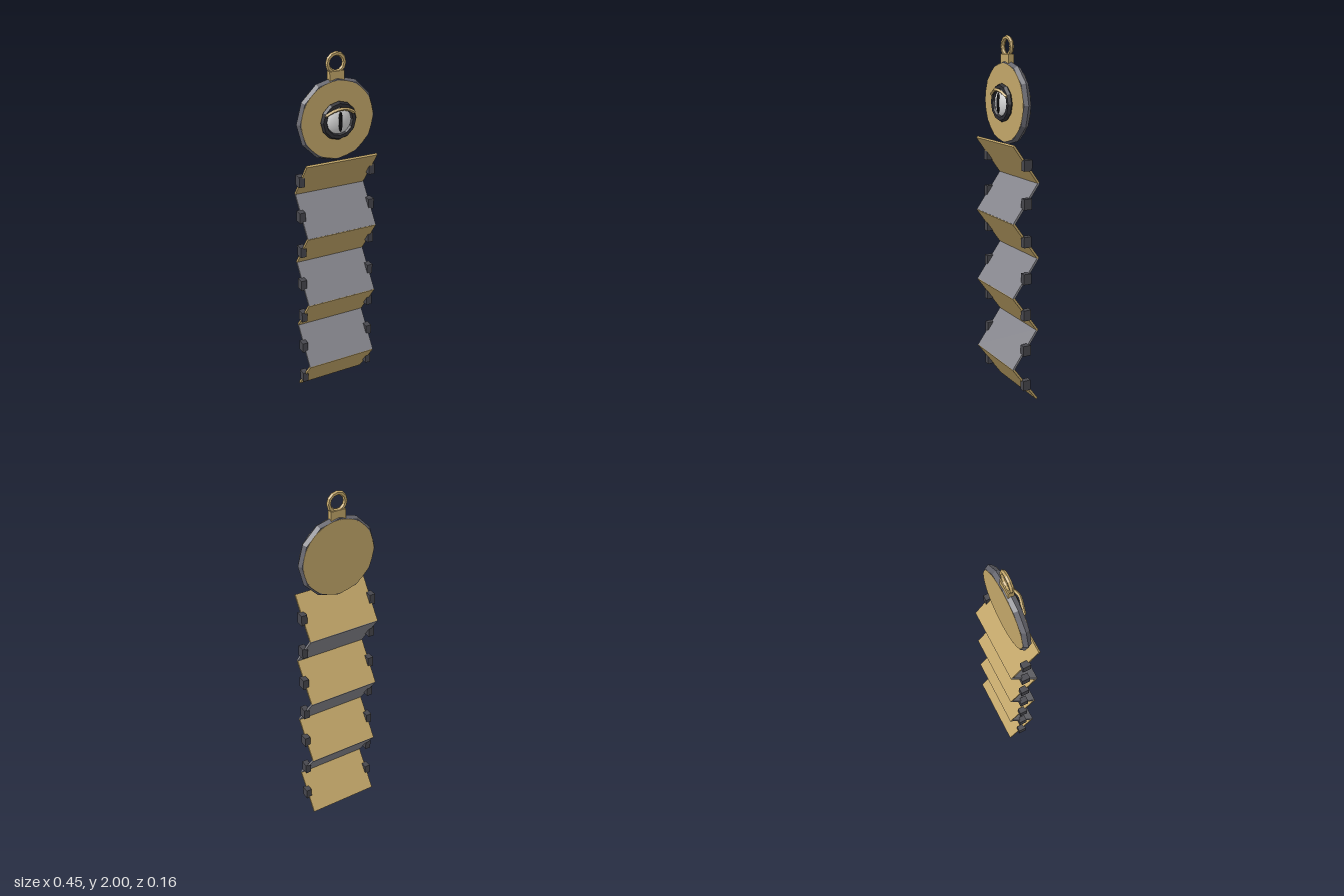
import * as THREE from 'three';

export function createModel() {
  const model = new THREE.Group();
  const mat = (name, color, flatShading = true) =>
    Object.assign(new THREE.MeshStandardMaterial({ color, flatShading }), { name });
  const gold = mat('gold', 0xc2a669);
  const grey = mat('panel grey', 0x86868d);
  const steel = mat('rim steel', 0x66666e);
  const dark = mat('clip dark', 0x47474d);
  const black = mat('socket black', 0x2d2d32);
  const white = mat('eye white', 0xdadada, false);
  const pupilBlack = mat('pupil black', 0x121215);

  const add = (name, geometry, material, x = 0, y = 0, z = 0) => {
    const mesh = new THREE.Mesh(geometry, material);
    mesh.name = name;
    mesh.position.set(x, y, z);
    model.add(mesh);
    return mesh;
  };

  // Folded strip: seven zigzag panels with a clip on both edges
  const step = 0.206, depth = 0.15;
  const tilt = Math.atan2(depth, step);
  const panelGeo = new THREE.BoxGeometry(0.414, Math.hypot(step, depth) + 0.004, 0.012);
  const clipGeo = new THREE.BoxGeometry(0.033, 0.059, 0.046);
  for (let i = 0; i < 7; i++) {
    const y = 0.107 + i * step;
    const even = i % 2 === 0;
    add('panel', panelGeo, even ? gold : grey, 0, y, 0).rotation.x = even ? tilt : -tilt;
    for (const s of [-1, 1]) add('clip', clipGeo, dark, s * 0.208, y, 0);
  }

  // Medallion: smooth disc inside a twelve-sided rim
  const cy = 1.65;
  add('disc', new THREE.CylinderGeometry(0.206, 0.206, 0.046, 48), gold, 0, cy, 0).rotation.x = Math.PI / 2;
  add('rim', new THREE.TorusGeometry(0.2, 0.025, 6, 12), steel, 0, cy, 0);

  // Hanging tab and loop
  add('tab', new THREE.BoxGeometry(0.084, 0.06, 0.032), gold, 0, 1.873, 0);
  add('loop', new THREE.TorusGeometry(0.047, 0.012, 6, 12), gold, 0, 1.942, 0);

  // Eye: socket, eyeball, slit pupil
  add('eyeSocket', new THREE.TorusGeometry(0.085, 0.018, 6, 12), black, 0, cy, 0.032);
  add('eyeball', new THREE.SphereGeometry(0.076, 24, 16), white, 0, cy, 0.022).scale.z = 0.45;
  add('pupil', new THREE.SphereGeometry(1, 8, 8), pupilBlack, 0, cy, 0.054).scale.set(0.012, 0.055, 0.009);

  // Arched eyelid bowing forward over the eye
  const lidPath = new THREE.CatmullRomCurve3([-0.08, -0.042, 0, 0.042, 0.08].map((x) => {
    const t = 1 - Math.abs(x) / 0.08;
    return new THREE.Vector3(x, 1.69 + 0.03 * Math.sqrt(t), 0.052 + 0.016 * t);
  }));
  add('eyelid', new THREE.TubeGeometry(lidPath, 8, 0.009, 4), gold);
  for (const s of [-1, 1]) add('eyelidTip', new THREE.OctahedronGeometry(0.009), gold, s * 0.08, 1.69, 0.052);

  return model;
}
